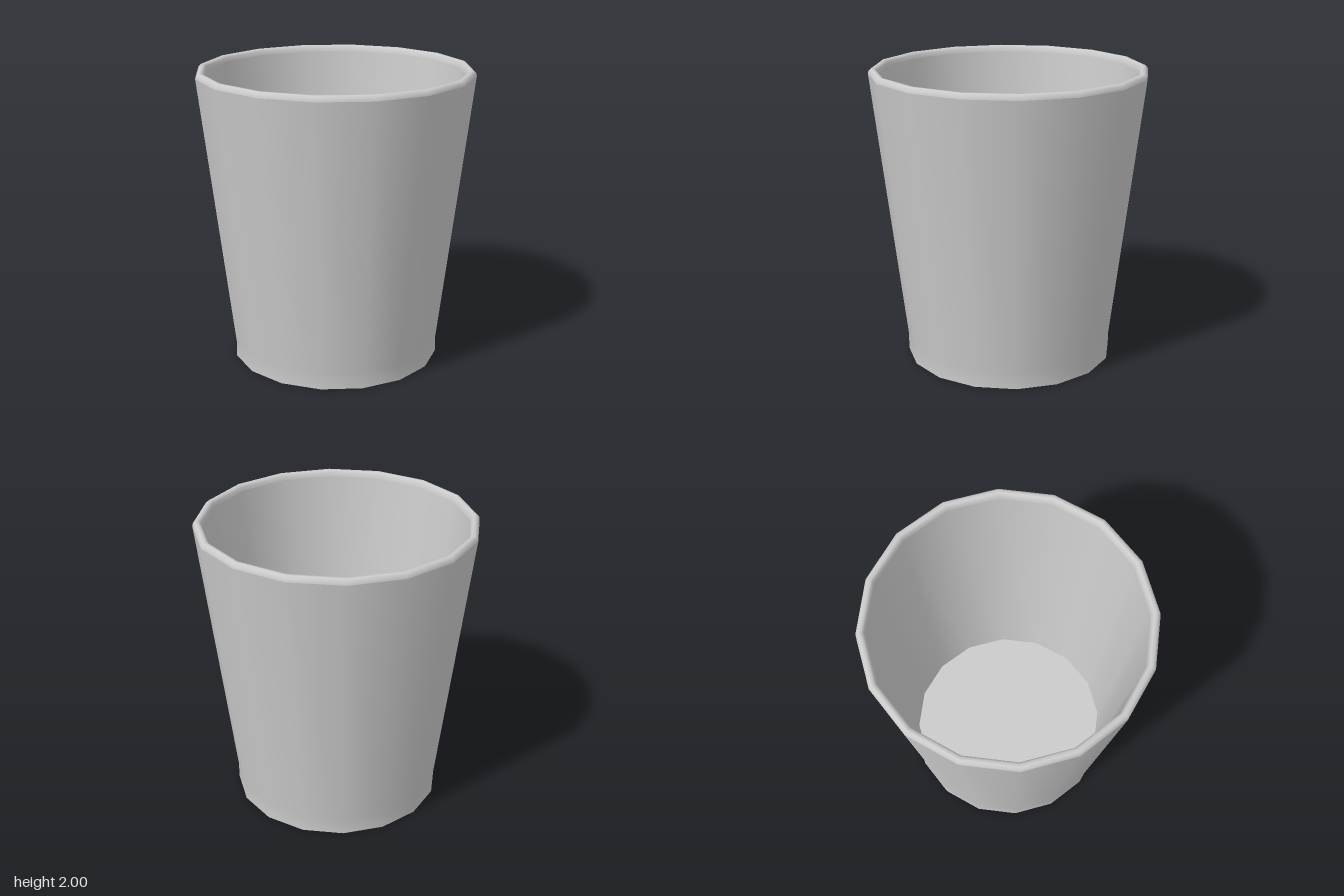
import * as THREE from 'three';

const SIDES = 16;
const FLOOR_Y = 0.11;
const LIP_Y = 1.96;

export function createModel() {
  const cup = new THREE.Group();
  cup.name = 'cup';
  const material = new THREE.MeshStandardMaterial({ color: 0xcccccc });

  // Each part is a turned profile of [radius, height]; separate parts keep sharp edges between them
  function turned(name, profile) {
    const points = profile.map(([r, y]) => new THREE.Vector2(r, y));
    const mesh = new THREE.Mesh(new THREE.LatheGeometry(points, SIDES), material);
    mesh.name = name;
    cup.add(mesh);
    return mesh;
  }

  // The cavity grows slightly deeper along z towards the floor
  function stretchCavity(mesh) {
    const p = mesh.geometry.attributes.position;
    for (let i = 0; i < p.count; i++) {
      const t = (LIP_Y - p.getY(i)) / (LIP_Y - FLOOR_Y);
      p.setZ(i, p.getZ(i) * (1 + 0.038 * t));
    }
    mesh.geometry.computeBoundingSphere();
  }

  // Underside and flared outer wall with a straight foot
  turned('base', [[0, 0], [0.71, 0]]);
  turned('outerWall', [[0.71, 0], [0.71, 0.11], [0.93, 1.965]]);

  // Bevelled rim
  turned('rim', [[0.93, 1.965], [0.926, 1.985], [0.91, 2], [0.89, 2], [0.876, 1.985], [0.87, LIP_Y]]);

  // Inside of the cup
  stretchCavity(turned('innerWall', [[0.87, LIP_Y], [0.655, FLOOR_Y]]));
  stretchCavity(turned('floor', [[0.655, FLOOR_Y], [0, FLOOR_Y]]));

  return cup;
}
